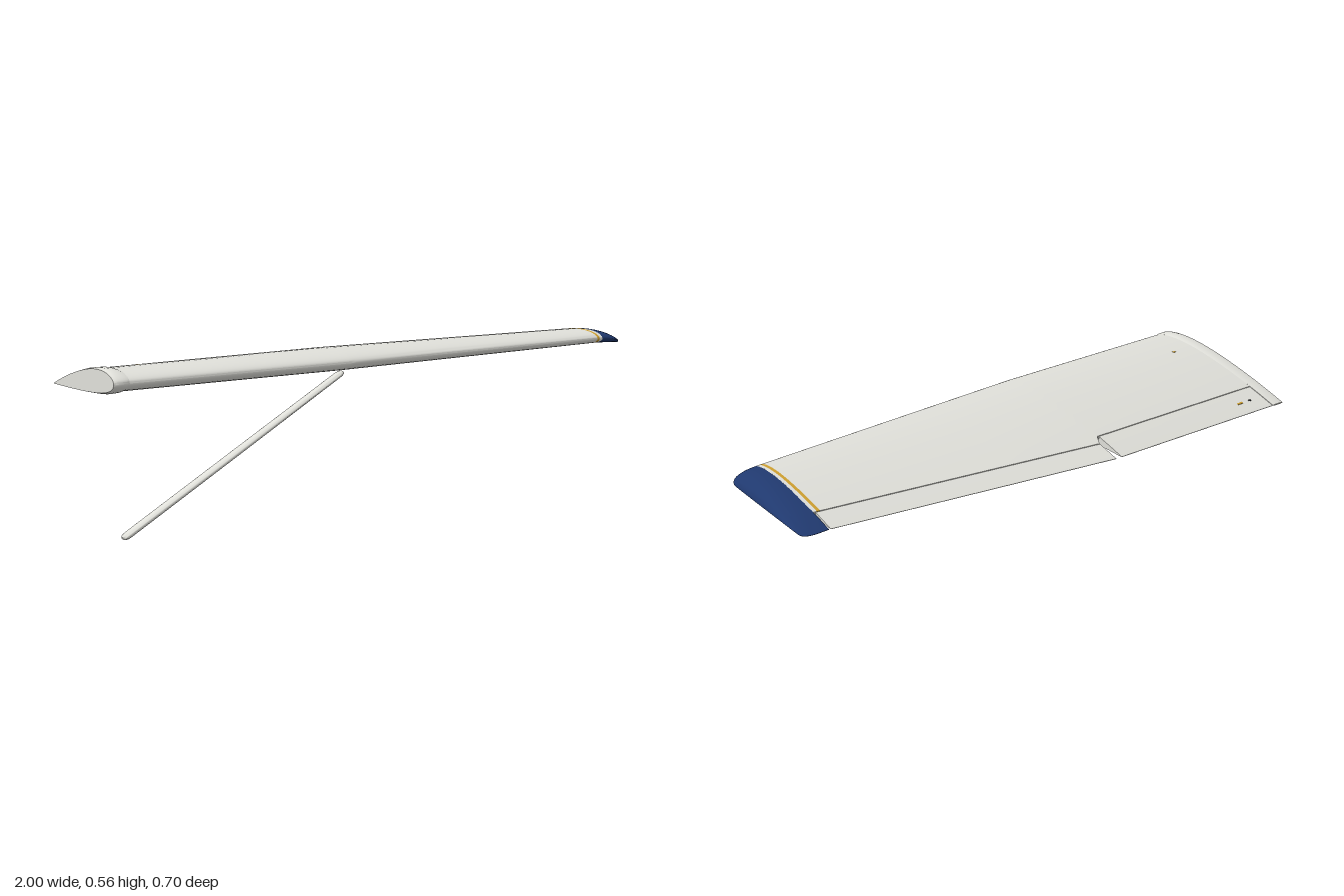
import * as THREE from 'three';
import { toCreasedNormals } from 'three/addons/utils/BufferGeometryUtils.js';

const paint = (name, color) => {
  const m = new THREE.MeshStandardMaterial({ color });
  m.name = name;
  return m;
};

// Piecewise linear lookup through [x, value] knots
function along(knots, x) {
  let i = 0;
  while (i < knots.length - 2 && x > knots[i + 1][0]) i++;
  const [a, b] = [knots[i], knots[i + 1]];
  return a[1] + (b[1] - a[1]) * (x - a[0]) / (b[0] - a[0]);
}

// Planform and dihedral along the span
const leadZ = x => along([[-1, 0.292], [-0.18, 0.292], [0.908, 0.241]], x);
const trailZ = x => along([[-1, -0.347], [-0.155, -0.347], [0.908, -0.208]], x);
const leadY = x => along([[-1, 0.48], [0.908, 0.534]], x);
const trailY = x => along([[-1, 0.415], [0.908, 0.509]], x);
const hingeZ = x => along([[-1, -0.225], [-0.175, -0.225], [-0.155, -0.26], [0.908, -0.12]], x);
const chordAt = (x, z) => (leadZ(x) - z) / (leadZ(x) - trailZ(x));

// Point on the cambered aerofoil: side +1 is the top, -1 the underside
function foil(x, u, side) {
  const chord = leadZ(x) - trailZ(x);
  const t = 0.6 * (0.2969 * Math.sqrt(u) - 0.126 * u - 0.3516 * u ** 2 + 0.2843 * u ** 3 - 0.1015 * u ** 4);
  const camber = u < 0.4 ? 0.125 * (0.8 * u - u * u) : 0.0556 * (0.2 + 0.8 * u - u * u);
  const y = THREE.MathUtils.lerp(leadY(x), trailY(x), u) + chord * (camber + side * t);
  return new THREE.Vector3(x, y, leadZ(x) - chord * u);
}

// Closed section between two chord fractions
function section(x, u0, u1, n = 18) {
  const ring = [];
  const at = i => u0 + (u1 - u0) * (i / n) ** (u0 === 0 ? 2 : 1);
  for (let i = n; i >= 0; i--) ring.push(foil(x, at(i), 1));
  for (let i = u0 === 0 ? 1 : 0; i <= n; i++) ring.push(foil(x, at(i), -1));
  return ring;
}

// Skin a list of equal rings and close both ends
function loft(rings, crease = 0.9) {
  const n = rings[0].length, index = [];
  const pts = rings.flat();
  for (let r = 0; r < rings.length - 1; r++) {
    for (let i = 0; i < n; i++) {
      const j = (i + 1) % n, a = r * n, b = a + n;
      index.push(a + i, a + j, b + i, a + j, b + j, b + i);
    }
  }
  for (const r of [0, rings.length - 1]) {
    const c = new THREE.Vector3();
    rings[r].forEach(p => c.addScaledVector(p, 1 / n));
    const k = pts.push(c) - 1;
    for (let i = 0; i < n; i++) {
      const a = r * n + i, b = r * n + (i + 1) % n;
      index.push(k, ...(r === 0 ? [b, a] : [a, b]));
    }
  }
  const g = new THREE.BufferGeometry().setFromPoints(pts);
  g.setIndex(index);
  return toCreasedNormals(g, crease);
}

export function createModel() {
  const white = paint('wingWhite', 0xe0e0da);
  const blue = paint('tipBlue', 0x20396f);
  const gold = paint('stripeGold', 0xcfa030);
  const dark = paint('markDark', 0x2a2a2a);

  const group = new THREE.Group();
  group.name = 'wing';
  const add = (name, geometry, material) => {
    const mesh = new THREE.Mesh(geometry, material);
    mesh.name = name;
    group.add(mesh);
    return mesh;
  };

  // Main wing box, ahead of the hinge line, with the painted band near the tip
  const box = xs => loft(xs.map(x => section(x, 0, chordAt(x, hingeZ(x)))));
  add('mainWing', box([-0.955, -0.6, -0.18, -0.175, -0.155, 0.2, 0.55, 0.885]), white);
  add('tipStripe', box([0.885, 0.896]), gold);
  add('tipJoint', box([0.896, 0.909]), white);

  // Hinged trailing surfaces
  const surface = xs => loft(xs.map(x => section(x, chordAt(x, hingeZ(x) - 0.003), 1)), 0.5);
  add('flap', surface([-0.945, -0.6, -0.18]), white);
  add('aileron', surface([-0.155, 0.2, 0.55, 0.902]), white);

  // Root fairing, slightly proud of the skin
  add('rootFairing', loft([[-1, 0], [-0.992, 0.003], [-0.985, 0.005], [-0.96, 0.004], [-0.948, 0]].map(([x, grow]) => {
    const ring = section(x, 0, 1), mid = (ring.length - 1) / 2;
    ring.forEach((p, i) => {
      const u = chordAt(x, p.z);
      p.y += grow * Math.sign(mid - i) * Math.min(1, u * 8) * (1 - 0.6 * u);
      p.z += grow * (1 - u);
    });
    return ring;
  })), white);

  // Rounded, drooping wing tip
  const tip = [];
  for (let i = 0; i <= 12; i++) {
    const a = i / 12 * 1.5, k = Math.cos(a);
    tip.push(section(0.908, 0, 1).map(p => new THREE.Vector3(
      0.908 + 0.092 * Math.sin(a) / Math.sin(1.5),
      0.512 + (p.y - 0.512) * k,
      0.0165 + (p.z - 0.0165) * (1 - 0.15 * (1 - k) ** 2))));
  }
  add('wingTip', loft(tip), blue);

  // Streamlined lift strut
  const foot = new THREE.Vector3(-0.995, 0.006, 0.331), head = new THREE.Vector3(-0.175, 0.468, 0.225);
  const dir = head.clone().sub(foot).normalize();
  const wide = new THREE.Vector3(0, 0, 1).addScaledVector(dir, -dir.z).normalize();
  const thin = dir.clone().cross(wide);
  const stops = [[0, 0.5], [0.004, 0.76], [0.011, 0.93], [0.022, 1], [0.5, 1], [0.978, 0.95], [0.99, 0.85], [0.997, 0.68], [1, 0.45]];
  add('liftStrut', loft(stops.map(([t, s]) => Array.from({ length: 24 }, (_, i) => {
    const a = i / 24 * Math.PI * 2;
    return foot.clone().lerp(head, t)
      .addScaledVector(wide, Math.cos(a) * 0.023 * s)
      .addScaledVector(thin, Math.sin(a) * 0.01 * s);
  }))), white);

  // Small placards on the upper skin
  for (const [name, x, z, w, d, m] of [
    ['flapPlacard', -0.827, -0.29, 0.026, 0.008, gold],
    ['flapMark', -0.88, -0.29, 0.012, 0.008, dark],
    ['fillerMark', -0.848, 0.085, 0.012, 0.008, gold],
  ]) {
    const u = chordAt(x, z), p = foil(x, u, 1), q = foil(x, u + 0.01, 1);
    const plate = add(name, new THREE.BoxGeometry(w, 0.003, d), m);
    plate.position.copy(p);
    plate.rotation.x = Math.atan2(p.y - q.y, q.z - p.z) + Math.PI;
    if (plate.rotation.x > Math.PI) plate.rotation.x -= Math.PI * 2;
  }
  return group;
}
